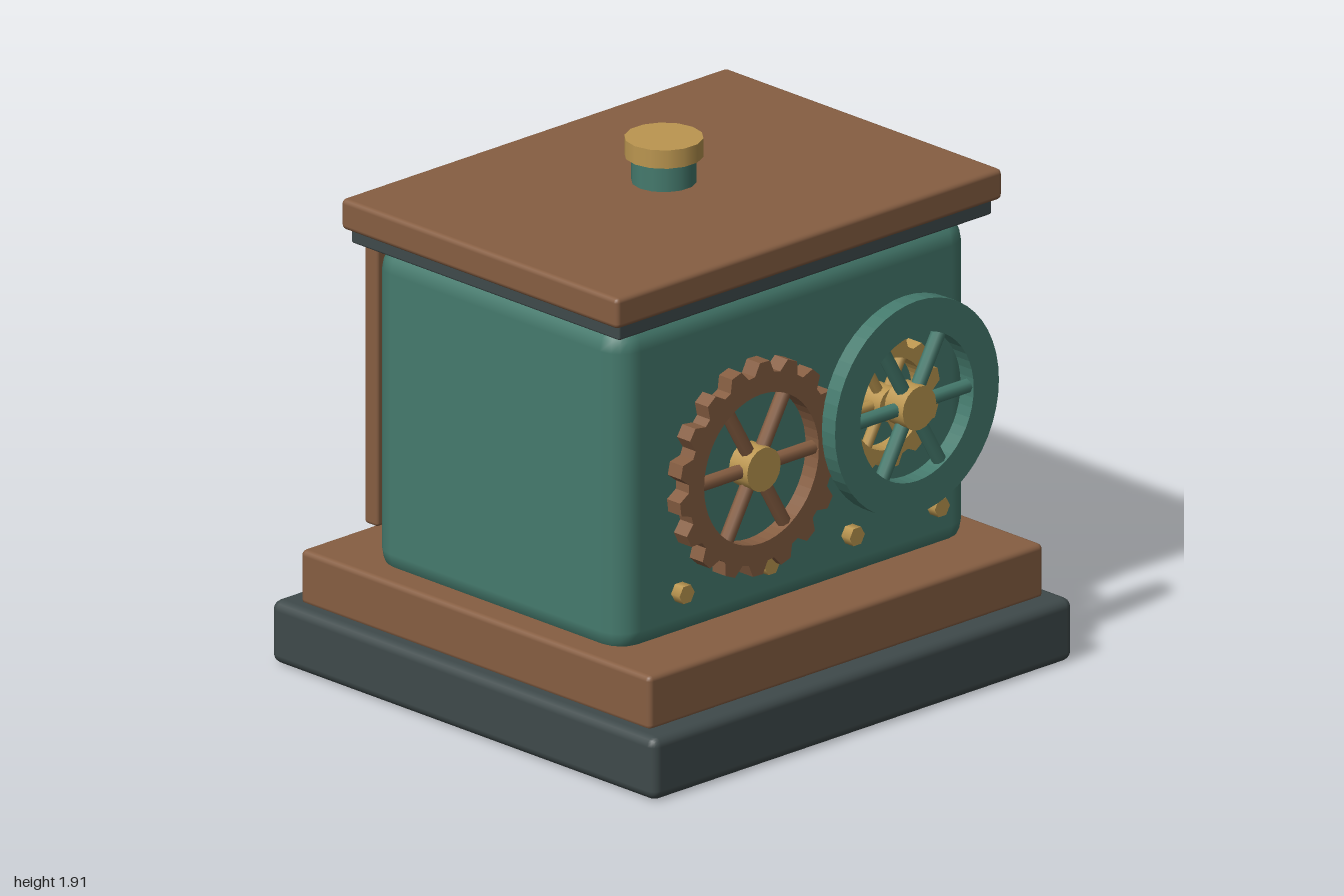
import * as THREE from 'three';
import { RoundedBoxGeometry } from 'three/addons/geometries/RoundedBoxGeometry.js';

const material = (name, color) => {
  const m = new THREE.MeshStandardMaterial({ color });
  m.name = name;
  return m;
};

export function createModel() {
  const teal = material('teal paint', 0x457a6d);
  const brown = material('brown wood', 0x865e42);
  const gold = material('brass', 0xbb9650);
  const dark = material('dark iron', 0x3f4a4b);
  const model = new THREE.Group();
  model.name = 'gearCabinet';

  const add = (parent, name, geometry, mat, x = 0, y = 0, z = 0) => {
    const mesh = new THREE.Mesh(geometry, mat);
    mesh.name = name;
    mesh.position.set(x, y, z);
    parent.add(mesh);
    return mesh;
  };
  // Rounded block given by its x, y and z ranges
  const block = (name, mat, [x0, x1], [y0, y1], [z0, z1], r) =>
    add(model, name, new RoundedBoxGeometry(x1 - x0, y1 - y0, z1 - z0, 2, r), mat,
      (x0 + x1) / 2, (y0 + y1) / 2, (z0 + z1) / 2);

  // Stepped base, cabinet and lid
  block('base', dark, [-0.95, 0.95], [0, 0.23], [-1, 1], 0.035);
  block('plinth', brown, [-0.865, 0.862], [0.22, 0.42], [-0.94, 0.937], 0.02);
  block('body', teal, [-0.62, 0.615], [0.37, 1.595], [-0.84, 0.84], 0.1);
  block('lidTrim', dark, [-0.665, 0.66], [1.585, 1.645], [-0.887, 0.887], 0.008);
  block('lid', brown, [-0.685, 0.682], [1.638, 1.75], [-0.918, 0.918], 0.018);

  // Knob on the lid
  add(model, 'knobNeck', new THREE.CylinderGeometry(0.113, 0.113, 0.11, 14), teal, -0.04, 1.795);
  add(model, 'knobCap', new THREE.CylinderGeometry(0.137, 0.137, 0.067, 14), gold, -0.04, 1.878);

  // Side panel with three fins
  block('sidePanel', brown, [-0.67, -0.605], [0.54, 1.57], [-0.82, 0.82], 0.012);
  for (const y of [1.105, 0.928, 0.752])
    block('fin', teal, [-0.785, -0.66], [y - 0.026, y + 0.026], [-0.675, 0.67], 0.008);

  // Hexagonal bolts along both sides
  const boltGeometry = new THREE.CylinderGeometry(0.036, 0.036, 0.042, 6).rotateZ(Math.PI / 2);
  for (const x of [-0.69, 0.687])
    for (const z of [0.61, 0.205, -0.2, -0.605])
      add(model, 'bolt', boltGeometry, gold, x, 0.597, z);

  // Rim outline: plain circle, or trapezoid teeth when a count is given
  const rimShape = (outer, root, inner, teeth) => {
    const shape = new THREE.Shape();
    if (teeth) {
      const points = [];
      for (let i = 0; i < teeth; i++)
        for (const [part, r] of [[0, root], [0.2, outer], [0.55, outer], [0.75, root]]) {
          const a = ((i + part) / teeth) * Math.PI * 2;
          points.push(new THREE.Vector2(Math.cos(a) * r, Math.sin(a) * r));
        }
      shape.setFromPoints(points);
    } else shape.absarc(0, 0, outer, 0, Math.PI * 2);
    shape.holes.push(new THREE.Path().absarc(0, 0, inner, 0, Math.PI * 2, true));
    return shape;
  };

  // Spoked wheel, its axle along the model's x
  const wheel = (name, mat, { x, y, z, outer, root, inner, teeth, hub, spoke }) => {
    const group = new THREE.Group();
    group.name = name;
    group.position.set(x, y, z);
    group.rotation.y = Math.PI / 2;
    const rim = new THREE.ExtrudeGeometry(rimShape(outer, root, inner, teeth),
      { depth: 0.065, bevelEnabled: false, curveSegments: 24 });
    add(group, 'rim', rim.translate(0, 0, -0.0325), mat);
    add(group, 'hub', new THREE.CylinderGeometry(hub, hub, 0.09, 16).rotateX(Math.PI / 2), gold);
    for (let i = 0; i < 6; i++) {
      const length = inner + 0.01;
      const bar = new THREE.CylinderGeometry(spoke, spoke, length, 8);
      bar.translate(0, length / 2, 0).rotateZ(Math.PI / 2 + (i * Math.PI) / 3);
      add(group, 'spoke', bar, mat);
    }
    model.add(group);
  };
  wheel('largeGear', brown, { x: 0.7, y: 0.978, z: 0.28, outer: 0.388, root: 0.345, inner: 0.273, teeth: 18, hub: 0.08, spoke: 0.026 });
  wheel('smallGear', gold, { x: 0.7, y: 1.055, z: -0.332, outer: 0.238, root: 0.205, inner: 0.165, teeth: 11, hub: 0.062, spoke: 0.02 });
  wheel('flywheel', teal, { x: 0.828, y: 1.076, z: -0.337, outer: 0.39, inner: 0.27, hub: 0.08, spoke: 0.026 });

  return model;
}
